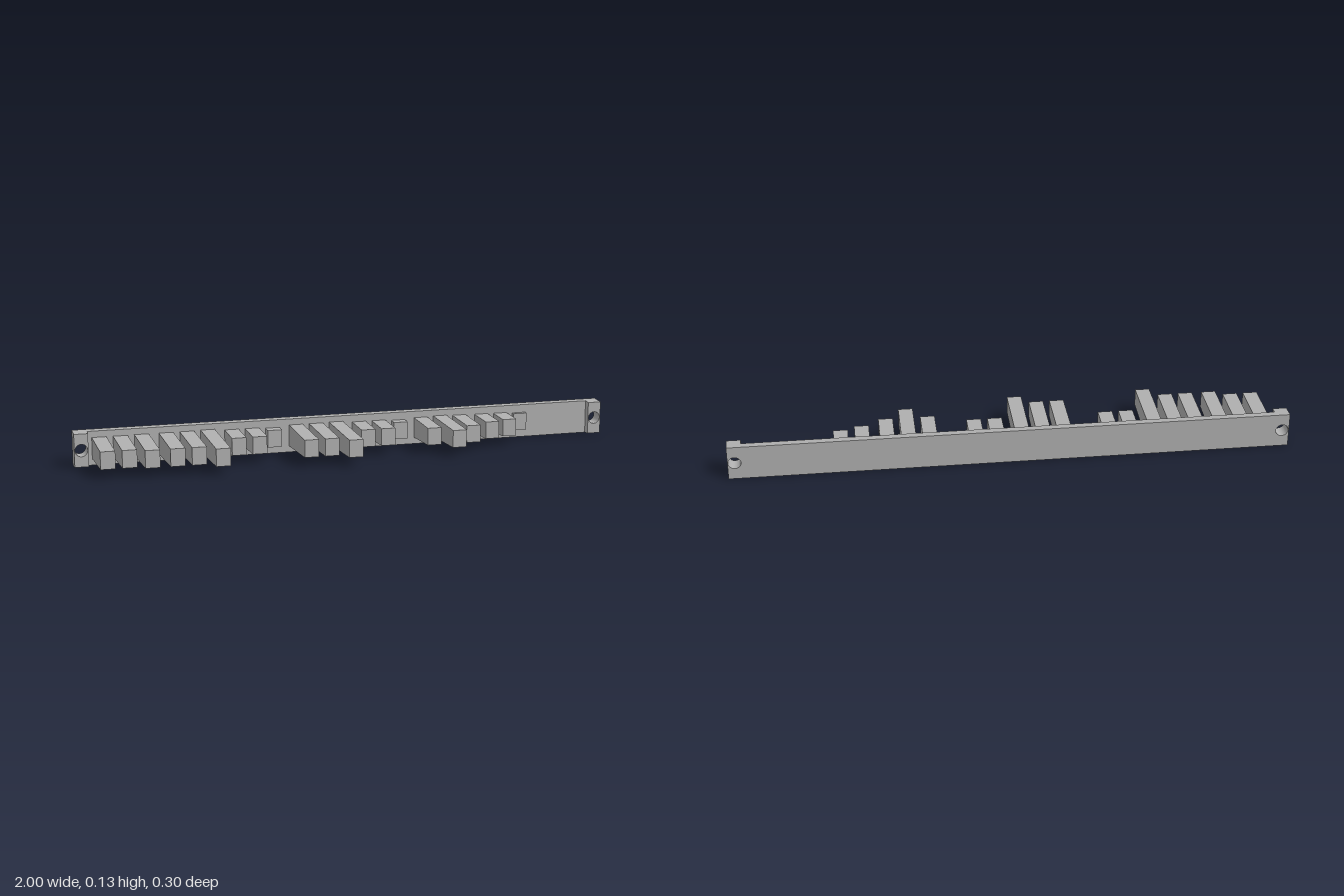
import * as THREE from 'three';

const MID_Y = 0.0635;
const BACK = -0.148, PLATE_FRONT = -0.12, END_FRONT = -0.093;

// Narrow a part in height towards +z, leaving anything near the mid line alone
function draft(geometry, slope, zStart, minHeight) {
  const p = geometry.attributes.position;
  for (let i = 0; i < p.count; i++) {
    const y = p.getY(i);
    if (Math.abs(y) > minHeight) p.setY(i, y - Math.sign(y) * slope * (p.getZ(i) - zStart));
  }
  geometry.computeVertexNormals();
  return geometry;
}

function box(width, halfHeight, z0, z1, slope, zStart) {
  const g = new THREE.BoxGeometry(width, halfHeight * 2, z1 - z0);
  g.translate(0, 0, (z0 + z1) / 2);
  return draft(g, slope, zStart, 0.01);
}

export function createModel() {
  const group = new THREE.Group();
  const grey = new THREE.MeshStandardMaterial({ color: 0xb0b0b0 });
  grey.name = 'grey';

  const add = (name, geometry, x) => {
    const mesh = new THREE.Mesh(geometry, grey);
    mesh.name = name;
    mesh.position.set(x, MID_Y, 0);
    group.add(mesh);
  };

  // Long back plate between the two end blocks
  add('backPlate', box(1.9, 0.0635, BACK, PLATE_FRONT, 0.07, BACK), 0);

  // End blocks with a screw hole through each
  for (const side of [-1, 1]) {
    const shape = new THREE.Shape();
    shape.moveTo(-0.025, -0.0635);
    shape.lineTo(0.025, -0.0635);
    shape.lineTo(0.025, 0.0635);
    shape.lineTo(-0.025, 0.0635);
    shape.closePath();
    const hole = new THREE.Path();
    hole.absarc(0, 0, 0.0225, 0, Math.PI * 2, true);
    shape.holes.push(hole);
    const g = new THREE.ExtrudeGeometry(shape, {
      depth: END_FRONT - BACK, bevelEnabled: false, curveSegments: 24,
    });
    g.translate(0, 0, BACK);
    add(side > 0 ? 'leftEndBlock' : 'rightEndBlock', draft(g, 0.07, BACK, 0.04), side * 0.975);
  }

  // Teeth in groups of three; each value is the z of the tooth's front face
  const fronts = [
    [0.08, 0.08, 0.104], [0.104, 0.104, 0.148], [0.003, 0.003, -0.085],
    [0.104, 0.104, 0.148], [0.003, 0.003, -0.085], [0.043, 0.104, 0.043],
    [0.003, -0.019, -0.105],
  ];
  fronts.forEach((trio, t) => trio.forEach((front, i) => {
    const x = -0.908 + t * 0.239 + i * 0.0755;
    // every tooth has the same front face and widens towards the plate
    add('tooth', box(0.052, 0.0315, PLATE_FRONT - 0.005, front, 0.035, front), x);
  }));

  return group;
}
